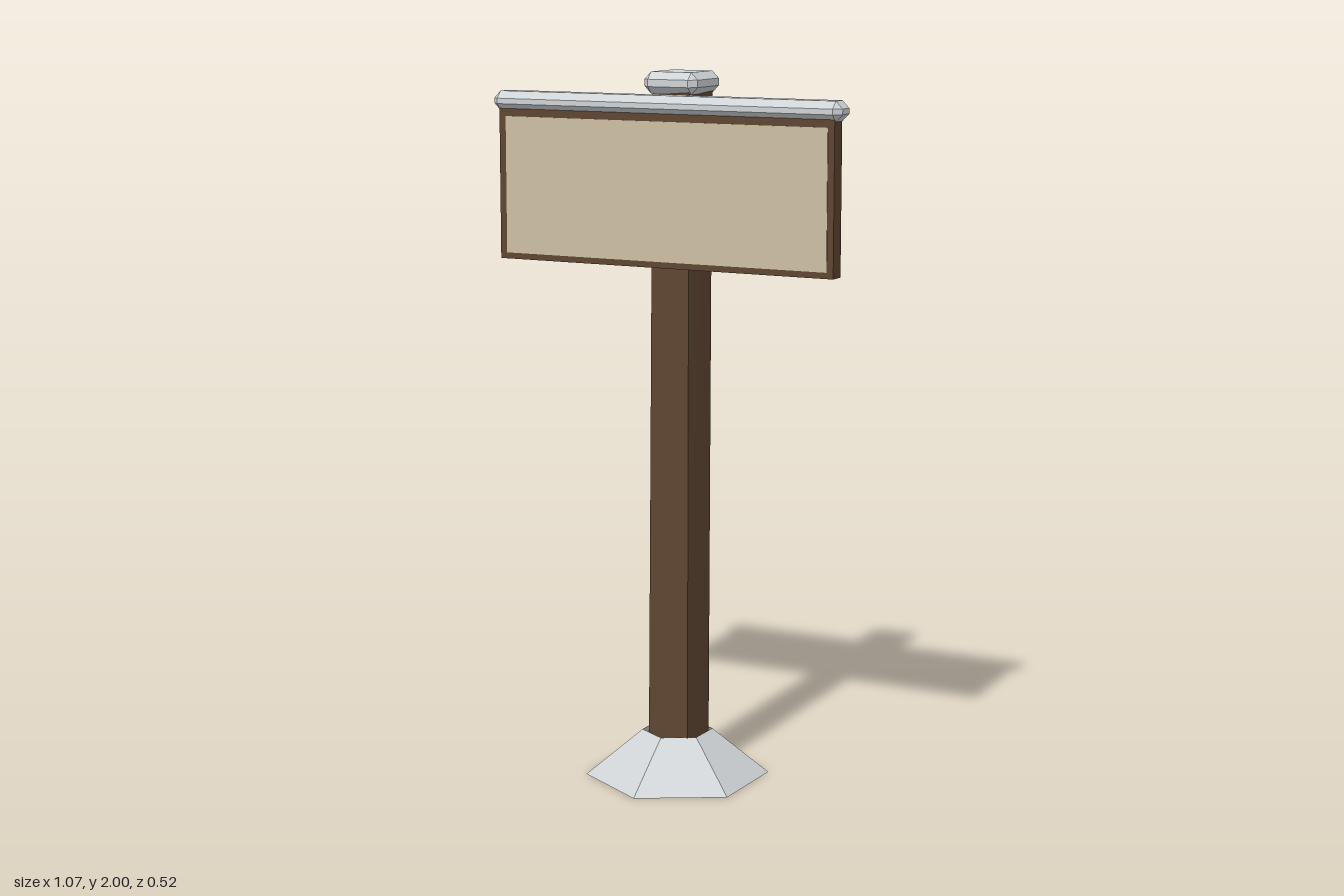
import * as THREE from 'three';
import { ConvexGeometry } from 'three/addons/geometries/ConvexGeometry.js';

// Box with every edge chamfered by b
function chamferBox(w, h, d, b) {
  const pts = [];
  for (const sx of [-1, 1]) for (const sy of [-1, 1]) for (const sz of [-1, 1]) {
    const x = w / 2, y = h / 2, z = d / 2;
    pts.push(
      new THREE.Vector3(sx * x, sy * (y - b), sz * (z - b)),
      new THREE.Vector3(sx * (x - b), sy * y, sz * (z - b)),
      new THREE.Vector3(sx * (x - b), sy * (y - b), sz * z)
    );
  }
  return new ConvexGeometry(pts);
}

export function createModel() {
  const group = new THREE.Group();
  const material = (name, color) => {
    const m = new THREE.MeshStandardMaterial({ color });
    m.name = name;
    return m;
  };
  const wood = material('dark wood', 0x5f4632);
  const board = material('cream board', 0xcdbfa4);
  const stone = material('pale grey', 0xd0d4d7);
  const stoneOpen = material('pale grey base', 0xd0d4d7);
  stoneOpen.side = THREE.DoubleSide;

  const add = (name, geometry, mat, x, y, z) => {
    const mesh = new THREE.Mesh(geometry, mat);
    mesh.name = name;
    mesh.position.set(x, y, z);
    group.add(mesh);
  };

  // Open six-sided foot
  const foot = new THREE.CylinderGeometry(0.1, 0.261, 0.132, 6, 1, true).toNonIndexed();
  foot.computeVertexNormals();
  add('foot', foot, stoneOpen, -0.012, 0.066, 0);

  // Square post, leaning and twisting slightly towards the top
  const y0 = 0.03, y1 = 1.95;
  const post = new THREE.BoxGeometry(0.125, y1 - y0, 0.128);
  const p = post.attributes.position;
  for (let i = 0; i < p.count; i++) {
    const top = p.getY(i) > 0;
    const a = top ? 0.08 : 0.01;
    const s = top ? 0.94 : 1;
    const x = p.getX(i) * s, z = p.getZ(i) * s;
    p.setX(i, x * Math.cos(a) - z * Math.sin(a) + (top ? 0.005 : -0.008));
    p.setZ(i, x * Math.sin(a) + z * Math.cos(a) + (top ? 0.002 : 0));
  }
  post.computeVertexNormals();
  add('post', post, wood, 0, (y0 + y1) / 2, 0);

  // Chamfered cap on the post
  add('postCap', chamferBox(0.163, 0.06, 0.165, 0.02), stone, 0.001, 1.97, -0.002);

  // Sign panel with its cream face and top rail
  add('signPanel', new THREE.BoxGeometry(1.028, 0.43, 0.047), wood, -0.001, 1.685, 0.088);
  add('signFace', new THREE.BoxGeometry(0.988, 0.382, 0.004), board, 0, 1.678, 0.1115);
  add('signRail', chamferBox(1.067, 0.055, 0.082, 0.02), stone, -0.001, 1.911, 0.084);

  return group;
}
